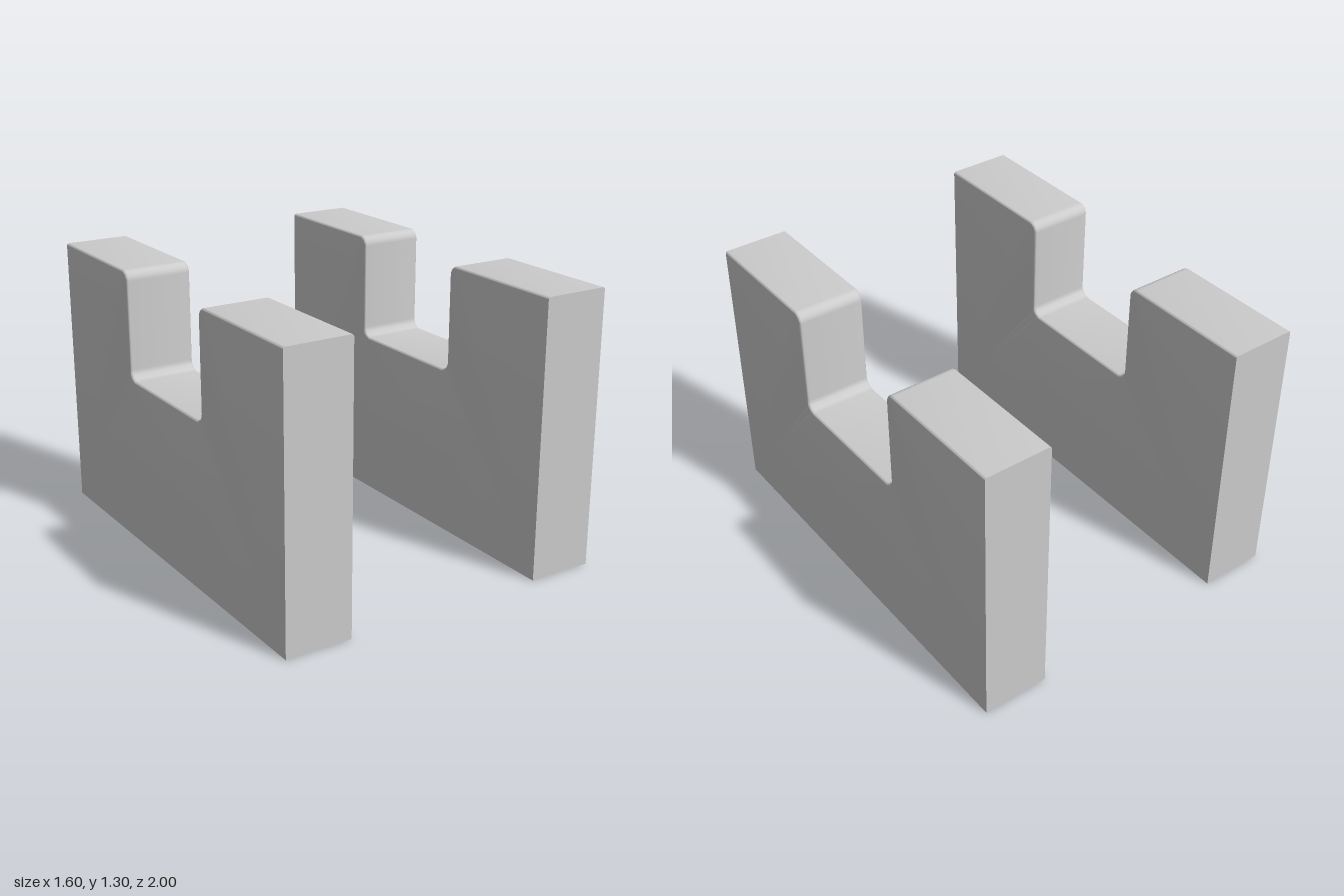
import * as THREE from 'three';
import { toCreasedNormals } from 'three/addons/utils/BufferGeometryUtils.js';

const HEIGHT = 1.3, HALF_LENGTH = 1, THICKNESS = 0.315, OUTER_X = 0.8;
const NOTCH_HALF = 0.337, NOTCH_FLOOR = 0.797, FILLET = 0.045, ROUND = 0.01;

// Side profile: a block with a rounded notch in its top edge.
// The ends and base overshoot by ROUND so they can be trimmed flat below.
function blockProfile() {
  const L = HALF_LENGTH + ROUND, n = NOTCH_HALF, r = FILLET;
  const s = new THREE.Shape();
  s.moveTo(-L, -ROUND);
  s.lineTo(L, -ROUND);
  s.lineTo(L, HEIGHT);
  s.lineTo(n + r, HEIGHT);
  s.absarc(n + r, HEIGHT - r, r, Math.PI / 2, Math.PI, false);
  s.lineTo(n, NOTCH_FLOOR + r);
  s.absarc(n - r, NOTCH_FLOOR + r, r, 0, -Math.PI / 2, true);
  s.lineTo(-n + r, NOTCH_FLOOR);
  s.absarc(-n + r, NOTCH_FLOOR + r, r, -Math.PI / 2, -Math.PI, true);
  s.lineTo(-n, HEIGHT - r);
  s.absarc(-n - r, HEIGHT - r, r, 0, Math.PI / 2, false);
  s.lineTo(-L, HEIGHT);
  s.closePath();
  return s;
}

function blockGeometry() {
  const g = new THREE.ExtrudeGeometry(blockProfile(), {
    depth: THICKNESS - 2 * ROUND, curveSegments: 4,
    bevelEnabled: true, bevelSegments: 3,
    bevelSize: ROUND, bevelThickness: ROUND, bevelOffset: -ROUND,
  });
  g.translate(0, 0, -(THICKNESS / 2 - ROUND));

  // Trim the ends and base so only the top and notch edges stay rounded
  const p = g.attributes.position;
  for (let i = 0; i < p.count; i++) {
    p.setX(i, THREE.MathUtils.clamp(p.getX(i), -HALF_LENGTH, HALF_LENGTH));
    p.setY(i, Math.max(0, p.getY(i)));
  }
  g.rotateY(Math.PI / 2);
  return toCreasedNormals(g, Math.PI / 5);
}

export function createModel() {
  const model = new THREE.Group();
  model.name = 'notchedSupports';
  const material = new THREE.MeshStandardMaterial({ color: 0xcccccc });
  const geometry = blockGeometry();

  // Matching pair of notched blocks
  for (const [name, side] of [['leftBlock', 1], ['rightBlock', -1]]) {
    const block = new THREE.Mesh(geometry, material);
    block.name = name;
    block.position.x = side * (OUTER_X - THICKNESS / 2);
    model.add(block);
  }
  return model;
}
